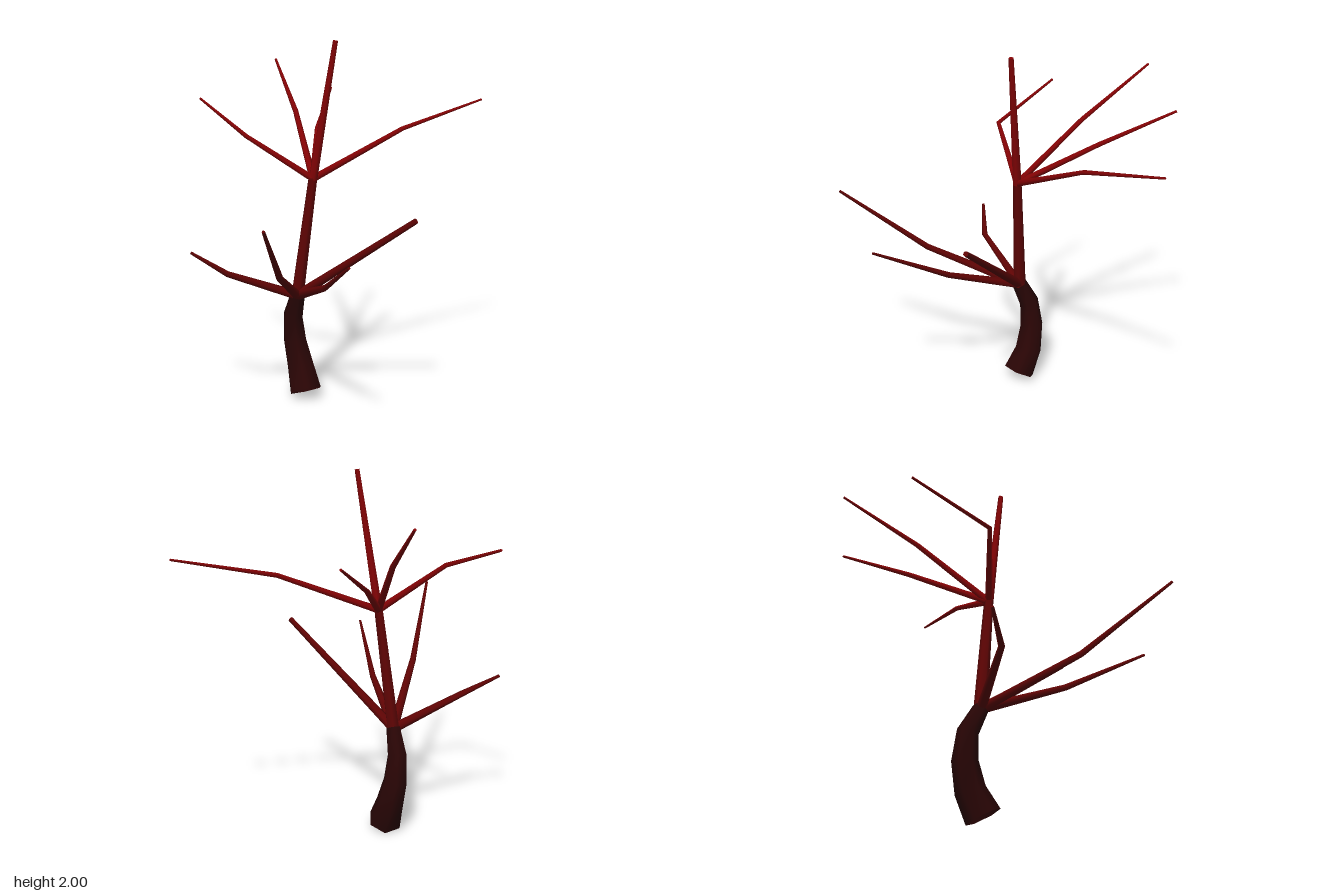
import * as THREE from 'three';

const SIDES = 6;

const material = (name, color) => {
  const m = new THREE.MeshStandardMaterial({ color });
  m.name = name;
  return m;
};

// Tapered six-sided limb along points [x, y, z, radius], with an optional flat tip.
function limbGeometry(points, capEnd) {
  const centres = points.map(p => new THREE.Vector3(p[0], p[1], p[2]));
  const last = centres.length - 1;
  const overall = centres[last].clone().sub(centres[0]).normalize();
  const ref = Math.abs(overall.z) > 0.75 ? new THREE.Vector3(0, 1, 0) : new THREE.Vector3(0, 0, 1);
  const positions = [], index = [];

  // Cross-sections, square to the averaged direction of the path
  centres.forEach((c, i) => {
    const t = new THREE.Vector3();
    if (i > 0) t.add(c.clone().sub(centres[i - 1]).normalize());
    if (i < last) t.add(centres[i + 1].clone().sub(c).normalize());
    t.normalize();
    const u = ref.clone().addScaledVector(t, -ref.dot(t)).normalize();
    const v = t.clone().cross(u);
    for (let s = 0; s < SIDES; s++) {
      const a = (s / SIDES) * Math.PI * 2;
      const p = c.clone()
        .addScaledVector(u, Math.cos(a) * points[i][3])
        .addScaledVector(v, Math.sin(a) * points[i][3]);
      positions.push(p.x, p.y, p.z);
    }
  });

  // Side walls
  for (let i = 0; i < last; i++) {
    for (let s = 0; s < SIDES; s++) {
      const a = i * SIDES + s, b = i * SIDES + (s + 1) % SIDES;
      index.push(a, b, b + SIDES, a, b + SIDES, a + SIDES);
    }
  }

  // The tip has its own corners so the rim stays sharp
  if (capEnd) {
    const base = positions.length / 3;
    positions.push(...positions.slice(last * SIDES * 3));
    for (let s = 1; s < SIDES - 1; s++) index.push(base, base + s, base + s + 1);
  }

  const geometry = new THREE.BufferGeometry();
  geometry.setAttribute('position', new THREE.Float32BufferAttribute(positions, 3));
  geometry.setIndex(index);
  geometry.computeVertexNormals();
  return geometry;
}

export function createModel() {
  const group = new THREE.Group();
  group.name = 'bareTree';

  const trunkBark = material('dark trunk bark', 0x2a0505);
  trunkBark.side = THREE.DoubleSide;
  const lowerBark = material('deep red bark', 0x600404);
  const upperBark = material('bright red bark', 0x840305);

  const add = (name, points, bark, capEnd = true) => {
    const mesh = new THREE.Mesh(limbGeometry(points, capEnd), bark);
    mesh.name = name;
    group.add(mesh);
  };

  // Curved hollow trunk, open at both ends
  add('trunk', [
    [-0.241, 0.046, -0.075, 0.095],
    [-0.26, 0.175, -0.14, 0.08],
    [-0.286, 0.32, -0.168, 0.068],
    [-0.296, 0.47, -0.155, 0.056],
    [-0.278, 0.605, -0.09, 0.042],
  ], trunkBark, false);

  // Central stem in two lengths
  add('lowerStem', [
    [-0.28, 0.59, -0.093, 0.036],
    [-0.195, 1.265, -0.05, 0.025],
  ], lowerBark);
  add('upperStem', [
    [-0.195, 1.255, -0.05, 0.025],
    [-0.082, 1.998, 0.02, 0.014],
  ], upperBark);

  // Lower whorl
  const low = [-0.28, 0.6, -0.09, 0.027];
  add('lowerFrontRightBranch', [low, [-0.44, 0.84, 0.41, 0.018], [-0.57, 1.19, 0.87, 0.008]], lowerBark);
  add('lowerFrontBranch', [low, [-0.2, 0.76, 0.35, 0.017], [-0.155, 0.975, 0.78, 0.007]], lowerBark);
  add('lowerRightBranch', [low, [-0.67, 0.765, 0, 0.017], [-0.86, 0.88, -0.05, 0.008]], lowerBark);
  add('lowerLeftBranch', [low, [0.272, 1.1, 0.38, 0.015]], lowerBark);

  // Upper whorl
  const high = [-0.195, 1.26, -0.05, 0.02];
  add('upperRightBranch', [high, [-0.55, 1.5, -0.055, 0.013], [-0.762, 1.66, -0.455, 0.007]], upperBark);
  add('upperBackRightBranch', [high, [-0.23, 1.58, -0.44, 0.015], [-0.288, 1.842, -0.85, 0.007]], upperBark);
  add('upperBackBranch', [high, [-0.1, 1.47, -0.49, 0.014], [0.048, 1.665, -0.873, 0.007]], upperBark);
  add('upperLeftBranch', [high, [0.34, 1.495, -0.225, 0.013], [0.858, 1.625, -0.428, 0.006]], upperBark);

  return group;
}
